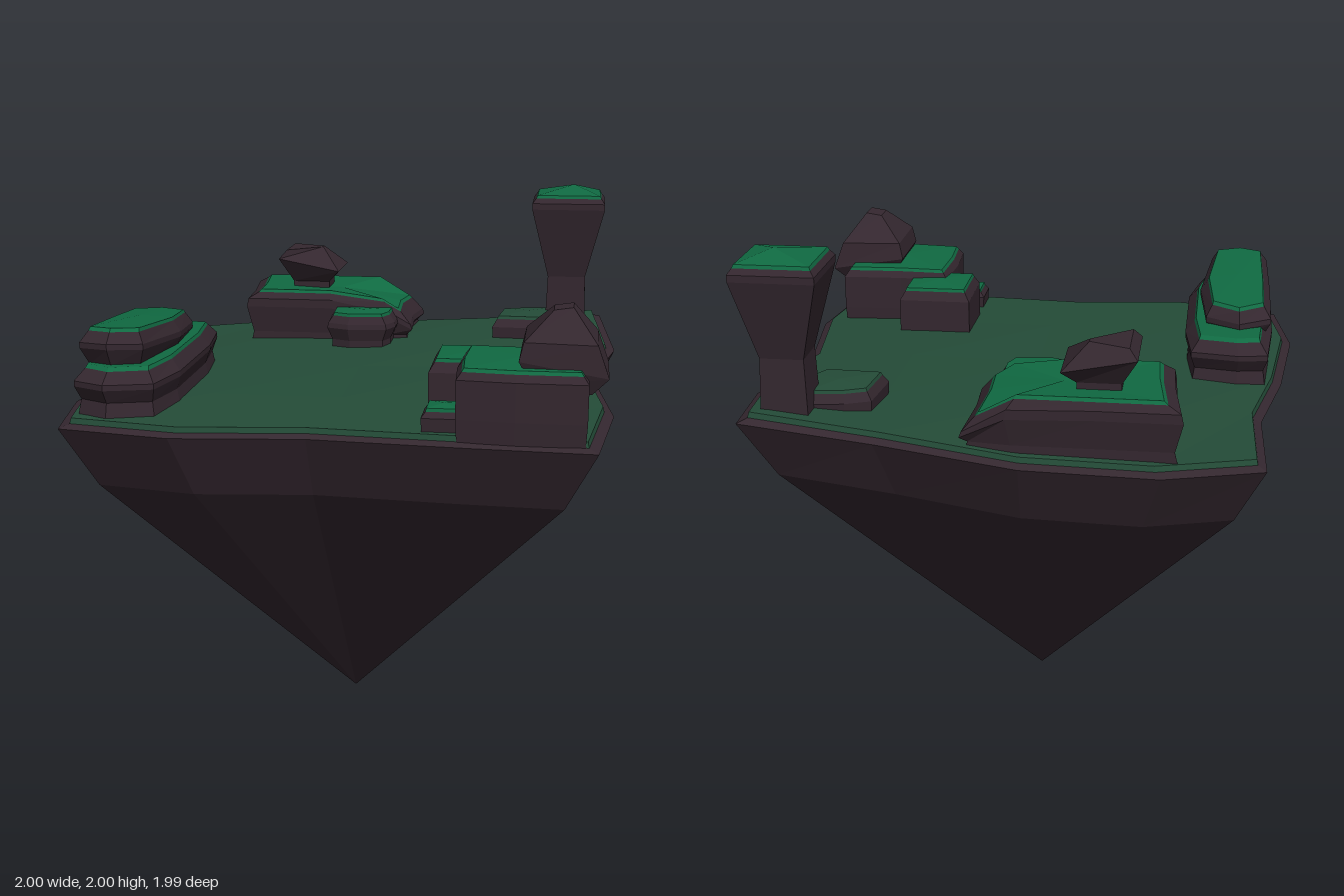
import * as THREE from 'three';

const material = (name, color) => {
  const m = new THREE.MeshStandardMaterial({ color, flatShading: true });
  m.name = name;
  return m;
};

// Flat-faced mesh from a list of triangles
function facetMesh(name, tris, mat) {
  const geo = new THREE.BufferGeometry();
  geo.setAttribute('position', new THREE.Float32BufferAttribute(tris.flat(2), 3));
  geo.computeVertexNormals();
  const mesh = new THREE.Mesh(geo, mat);
  mesh.name = name;
  return mesh;
}

// Side faces joining a stack of rings, lowest ring first
function loft(rings) {
  const tris = [];
  for (let r = 0; r < rings.length - 1; r++) {
    const lo = rings[r], up = rings[r + 1], n = lo.length;
    for (let i = 0; i < n; i++) {
      const k = (i + 1) % n;
      tris.push([lo[i], lo[k], up[k]], [lo[i], up[k], up[i]]);
    }
  }
  return tris;
}

const centre = ring => [0, 1, 2].map(a => ring.reduce((s, p) => s + p[a], 0) / ring.length);

// Fan from a ring to a point; lift raises it, down turns it to face below
function cap(ring, point, down = false) {
  return ring.map((p, i) => {
    const q = ring[(i + 1) % ring.length];
    return down ? [q, p, point] : [p, q, point];
  });
}

// Ring from an [x, z] outline, scaled about its middle; y is a number or a rule of x and z
function ringAt(outline, scale, y) {
  const xs = outline.map(p => p[0]), zs = outline.map(p => p[1]);
  const cx = (Math.min(...xs) + Math.max(...xs)) / 2, cz = (Math.min(...zs) + Math.max(...zs)) / 2;
  const [sx, sz] = Array.isArray(scale) ? scale : [scale, scale];
  return outline.map(([x, z]) => {
    const px = cx + (x - cx) * sx, pz = cz + (z - cz) * sz;
    return [px, typeof y === 'function' ? y(px, pz) : y, pz];
  });
}

const box = (x0, x1, z0, z1) => [[x0, z0], [x0, z1], [x1, z1], [x1, z0]];

// Ring with four corners whose left and right edges sit at different heights
const tiltedQuad = (x0, yL, x1, yR, z0, z1) => [[x0, yL, z0], [x0, yL, z1], [x1, yR, z1], [x1, yR, z0]];

export function createModel() {
  const rock = material('dark rock', 0x34272f);
  const grass = material('dull grass', 0x244c38);
  const moss = material('bright moss', 0x106a42);
  const model = new THREE.Group();
  model.name = 'floatingIsland';

  // Island rim: [x, y, z], from the back corner down the -x side, across the front and round
  const rim = [
    [-0.885, 1.30, -0.87], [-0.87, 1.30, -0.41], [-0.95, 1.30, 0], [-1, 1.30, 0.51],
    [-0.94, 1.30, 0.91], [-0.53, 1.30, 0.985], [-0.06, 1.30, 0.93], [0.5, 1.30, 0.97],
    [0.93, 1.30, 0.99], [0.985, 1.31, 0.51], [0.91, 1.33, -0.02], [1, 1.35, -0.46],
    [0.94, 1.41, -0.92], [0.46, 1.36, -0.93], [-0.05, 1.32, -1], [-0.53, 1.31, -1],
  ];
  const inset = (s, dy) => rim.map(([x, y, z]) => [x * s, y + dy, z * s]);
  const lip = inset(0.965, 0.012), turf = inset(0.96, 0.032);
  const under = inset(0.885, -0.23);

  const island = new THREE.Group();
  island.name = 'island';
  island.add(facetMesh('islandRock', [
    ...cap(under, [-0.016, 0, 0.016], true), ...loft([under, rim, lip]),
  ], rock));

  // Grass: 5 x 5 grid, with the rim as its border
  const inner = [[1.35, 1.36, 1.385], [1.345, 1.355, 1.365], [1.345, 1.345, 1.345]];
  const grid = [0, 1, 2, 3, 4].map(j => [0, 1, 2, 3, 4].map(i => {
    if (i === 0) return turf[j];
    if (j === 4) return turf[4 + i];
    if (i === 4) return turf[12 - j];
    if (j === 0) return turf[16 - i];
    return [(i - 2) * 0.5, inner[j - 1][i - 1], (j - 2) * 0.5];
  }));
  const ground = loft([lip, turf]);
  for (let j = 0; j < 4; j++) {
    for (let i = 0; i < 4; i++) {
      const a = grid[j][i], b = grid[j + 1][i], c = grid[j + 1][i + 1], d = grid[j][i + 1];
      ground.push([a, b, d], [b, c, d]);
    }
  }
  island.add(facetMesh('islandGrass', ground, grass));
  model.add(island);

  // Stone from levels of [scale, y], with a thin raised cover on top
  function stone(name, outline, levels, cover = moss, peak = null) {
    const rings = levels.map(([s, y]) => ringAt(outline, s, y));
    const top = rings[rings.length - 1];
    const c = centre(top);
    const raised = top.map(([x, y, z]) => [c[0] + (x - c[0]) * 0.96, y + 0.012, c[2] + (z - c[2]) * 0.96]);
    const g = new THREE.Group();
    g.name = name;
    g.add(facetMesh(name + 'Body', [...cap(rings[0], centre(rings[0]), true), ...loft(rings)], rock));
    const tip = peak || [c[0], c[1] + 0.02, c[2]];
    g.add(facetMesh(name + 'Cover', [...loft([top, raised]), ...cap(raised, tip)], cover));
    model.add(g);
  }

  // Bare boulder from explicit rings
  function boulder(name, rings) {
    const top = rings[rings.length - 1];
    model.add(facetMesh(name, [
      ...cap(rings[0], centre(rings[0]), true), ...loft(rings), ...cap(top, centre(top)),
    ], rock));
  }

  // Flared pillar in the back corner and the low stone at its foot
  stone('pillar', box(0.64, 0.94, -0.9, -0.6),
    [[0.58, 1.34], [0.52, 1.62], [1, 1.91], [1, 1.935], [0.9, 1.955]], moss, [0.81, 2, -0.77]);
  stone('pillarFootStone',
    [[0.51, -0.7], [0.49, -0.49], [0.73, -0.48], [0.77, -0.55], [0.75, -0.76], [0.6, -0.74]],
    [[0.95, 1.33], [1, 1.43], [0.86, 1.462]], grass);

  // Long back ledge, falling away at its +x end
  const slope = (y, drop) => x => y - Math.max(0, x + 0.02) * drop;
  stone('backLedge',
    [[-0.6, -0.95], [-0.57, -0.7], [-0.56, -0.5], [-0.2, -0.5], [0.07, -0.5], [0.15, -0.51],
      [0.14, -0.7], [0.16, -0.93], [0, -0.95], [-0.3, -0.95]],
    [[[0.97, 0.9], 1.32], [[0.93, 0.9], 1.38], [1, slope(1.49, 0.5)], [[0.98, 1], slope(1.525, 0.6)],
      [[0.86, 0.91], slope(1.55, 0.6)]]);
  boulder('ledgeBoulder', [
    tiltedQuad(-0.385, 1.55, -0.23, 1.55, -0.82, -0.67),
    tiltedQuad(-0.385, 1.577, -0.23, 1.577, -0.82, -0.67),
    tiltedQuad(-0.44, 1.68, -0.18, 1.63, -0.88, -0.61),
    [[-0.41, 1.715, -0.85], [-0.41, 1.715, -0.64], [-0.27, 1.715, -0.76], [-0.27, 1.715, -0.79]],
  ]);
  stone('ledgeFootStone',
    [[-0.2, -0.53], [-0.19, -0.36], [-0.1, -0.32], [0.06, -0.34], [0.09, -0.42], [0.09, -0.55]],
    [[0.85, 1.33], [0.85, 1.385], [1, 1.435], [0.97, 1.455], [0.83, 1.485]]);

  // Two long stacked slabs on the -x side, the upper one rising to the front
  stone('lowerSlab',
    [[-0.89, -0.11], [-0.91, 0.2], [-0.91, 0.6], [-0.9, 0.83], [-0.78, 0.89], [-0.61, 0.84],
      [-0.57, 0.62], [-0.57, 0.15], [-0.6, -0.1], [-0.78, -0.13]],
    [[0.97, 1.32], [[0.9, 0.94], 1.385], [1, 1.435], [1, 1.455], [[0.8, 0.92], 1.495]]);
  const rise = y => (x, z) => y + (z - 0.6) * 0.07;
  stone('upperSlab',
    [[-0.9, 0.1], [-0.9, 0.4], [-0.89, 0.78], [-0.78, 0.82], [-0.66, 0.78], [-0.62, 0.4],
      [-0.65, 0.1], [-0.78, 0.03]],
    [[[0.72, 0.88], rise(1.46)], [[0.8, 0.92], rise(1.49)], [1, rise(1.55)], [1, rise(1.57)],
      [[0.8, 0.92], rise(1.61)]]);

  // Front corner cluster: block, boulder and two smaller stones
  stone('cornerBlock',
    [[0.45, 0.51], [0.44, 0.75], [0.45, 0.94], [0.65, 0.96], [0.89, 0.96], [0.89, 0.75],
      [0.89, 0.51], [0.65, 0.52]],
    [[0.98, 1.31], [1, 1.39], [1, 1.525], [0.92, 1.55]]);
  boulder('cornerBoulder', [
    tiltedQuad(0.7, 1.5, 0.9, 1.475, 0.64, 0.88),
    tiltedQuad(0.655, 1.585, 0.955, 1.535, 0.6, 0.905),
    tiltedQuad(0.67, 1.65, 0.915, 1.645, 0.61, 0.9),
    tiltedQuad(0.765, 1.745, 0.83, 1.755, 0.71, 0.81),
  ]);
  stone('cornerSideStone', box(0.33, 0.62, 0.35, 0.64),
    [[1, 1.31], [1, 1.48], [0.86, 1.515]]);
  stone('cornerPebble', box(0.33, 0.48, 0.75, 0.9),
    [[0.95, 1.31], [1, 1.38], [0.8, 1.4]]);

  return model;
}
